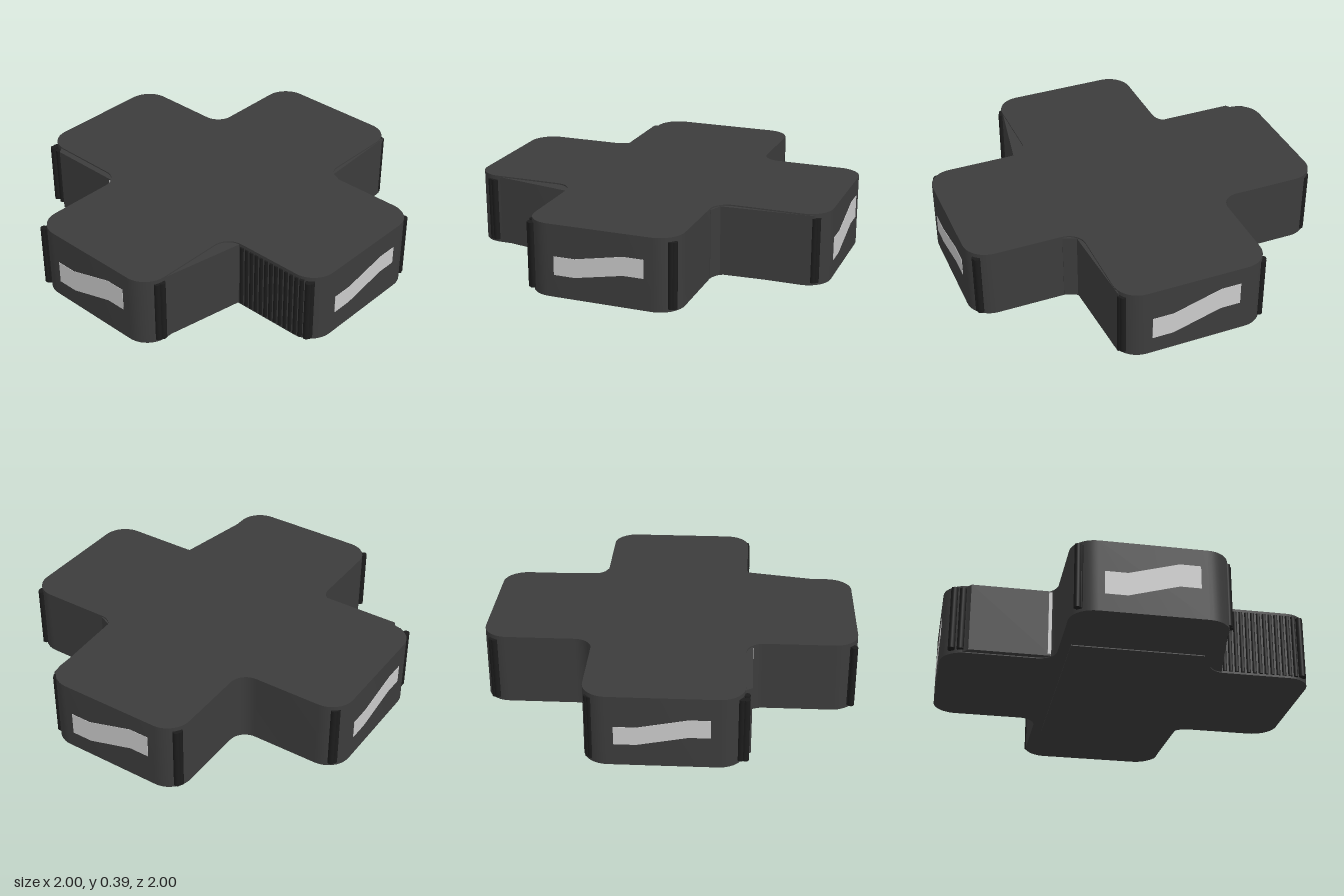
import * as THREE from 'three';
import { toCreasedNormals } from 'three/addons/utils/BufferGeometryUtils.js';

const mat = (color) => new THREE.MeshStandardMaterial({ color });
const dark = mat(0x3c3c3c), black = mat(0x1c1c1c), grey = mat(0xcccccc);

// Closed outline through [x, z, radius] corners, each rounded by its radius
function roundedOutline(corners) {
  const shape = new THREE.Shape();
  const pts = corners.map(([x, z]) => new THREE.Vector2(x, -z));
  pts.forEach((p, i) => {
    const r = corners[i][2] || 0;
    const prev = pts[(i + pts.length - 1) % pts.length], next = pts[(i + 1) % pts.length];
    const a = p.clone().add(prev.clone().sub(p).setLength(r));
    const b = p.clone().add(next.clone().sub(p).setLength(r));
    if (i === 0) shape.moveTo(a.x, a.y); else shape.lineTo(a.x, a.y);
    if (r > 0) {
      const k = 0.448; // Bezier handles approximating a circular arc
      const c = p.clone().lerp(a, k), d = p.clone().lerp(b, k);
      shape.bezierCurveTo(c.x, c.y, d.x, d.y, b.x, b.y);
    }
  });
  shape.closePath();
  return shape;
}

// Vertical prism between two heights
function prism(corners, y0, y1) {
  const geo = new THREE.ExtrudeGeometry(roundedOutline(corners), { depth: y1 - y0, bevelEnabled: false, curveSegments: 10 });
  geo.rotateX(-Math.PI / 2).translate(0, y0, 0);
  return toCreasedNormals(geo, 0.6);
}

export function createModel() {
  const model = new THREE.Group();
  const add = (name, geo, material, parent = model) => {
    const mesh = new THREE.Mesh(geo, material);
    mesh.name = name;
    parent.add(mesh);
    return mesh;
  };

  // Cross-shaped body with rounded arms and inner corners
  const w = 0.407, e = 0.998, R = 0.13, r = 0.095;
  add('crossBody', prism([
    [-w, e, R], [w, e, R], [w, w, r], [e, w, R], [e, -w, R], [w, -w, r],
    [w, -e, R], [-w, -e, R], [-w, -w, r], [-e, -w, R], [-e, w, R], [-w, w, r],
  ], 0.005, 0.395), dark);

  // Slightly proud side panels
  add('frontLeftPanel', prism([[-0.89, 0.4], [-0.41, 0.49], [-0.38, 0.49], [-0.38, 0.4]], 0.01, 0.388), dark);
  add('frontRightPanel', prism([[0.38, 0.4], [0.38, 0.5], [0.41, 0.5], [0.44, 0.432], [0.93, 0.405], [0.93, 0.4]], 0.01, 0.388), dark);
  add('backArmPanel', prism([[-0.44, -0.86], [-0.44, -0.43], [-0.4, -0.43], [-0.4, -0.9], [-0.41, -0.88]], 0.01, 0.388), dark);
  add('cornerStrip', new THREE.BoxGeometry(0.012, 0.36, 0.018).translate(-0.437, 0.2, -0.44), grey);

  // Vertical ribs near the arm corners
  const ribs = new THREE.Group();
  ribs.name = 'cornerRibs';
  model.add(ribs);
  const ribGeo = new THREE.CylinderGeometry(0.018, 0.018, 0.35, 12).translate(0, 0.197, 0);
  [
    [-0.885, 0.408], [-0.91, 0.397], [-0.975, -0.377], [-0.965, -0.365],
    [-0.397, 0.943], [-0.385, 0.95], [0.382, 0.955], [0.37, 0.96],
    [0.942, 0.382], [0.93, 0.39], [0.95, -0.382], [0.935, -0.39],
    [0.375, -0.945], [0.36, -0.955], [-0.412, -0.945], [-0.39, -0.945], [-0.412, -0.9],
  ].forEach(([x, z]) => add('rib', ribGeo, black, ribs).position.set(x, 0, z));

  // Row of fine ribs along one side of the front arm
  const row = new THREE.Group();
  row.name = 'sideRibs';
  model.add(row);
  const fineGeo = new THREE.CylinderGeometry(0.012, 0.012, 0.36, 8).translate(0, 0.197, 0);
  for (let i = 0; i < 13; i++) add('fineRib', fineGeo, black, row).position.set(-0.405, 0, 0.51 + i * 0.033);

  // Stepped pale strips on the ends of the four arms
  const strip = (low, high) => {
    const pts = [[-0.245, low], [-0.13, low], [0.13, 0.175], [0.24, 0.175], [0.24, high], [0.13, high], [-0.13, 0.225], [-0.245, 0.225]];
    const shape = new THREE.Shape(pts.map(([x, y]) => new THREE.Vector2(x, y)));
    return new THREE.ExtrudeGeometry(shape, { depth: 0.006, bevelEnabled: false }).translate(0, 0, 0.994);
  };
  ['frontStrip', 'leftStrip', 'backStrip', 'rightStrip'].forEach((name, i) => {
    const geo = i % 2 ? strip(0.1, 0.3) : strip(0.125, 0.275);
    add(name, geo, grey).rotation.y = i * Math.PI / 2;
  });

  // Thin base sheet
  add('baseSheet', prism([[-0.6, 0.35], [0.6, 0.35], [0.6, -0.35], [-0.6, -0.35]], 0, 0.01), dark);
  return model;
}
